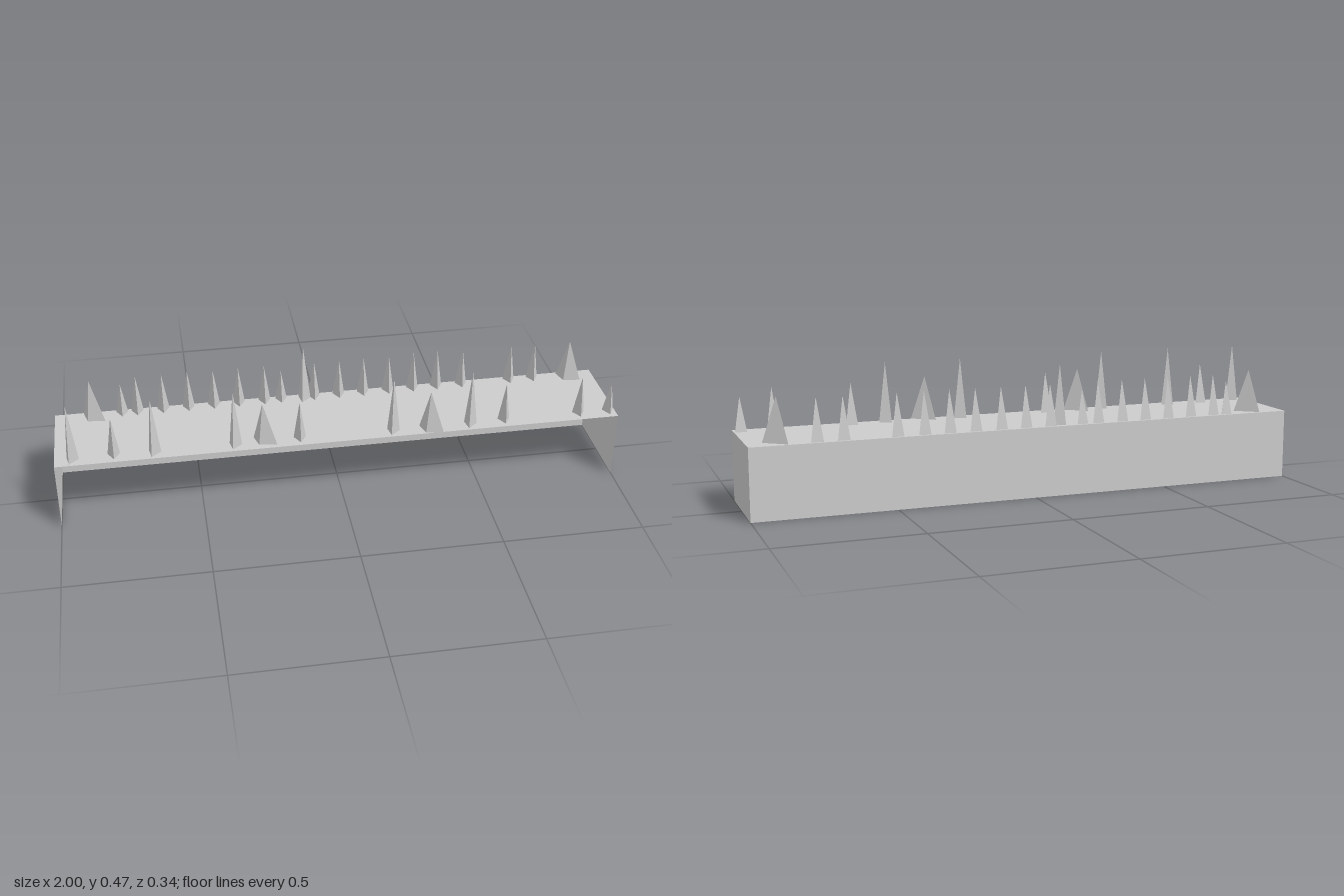
import * as THREE from 'three';

const TOP = 0.25, BACK = -0.168, FRONT = 0.165;

export function createModel() {
  const model = new THREE.Group();
  const material = new THREE.MeshStandardMaterial({
    color: 0xcccccc, flatShading: true, side: THREE.DoubleSide,
  });

  const add = (name, geometry, x, y, z, parent = model) => {
    const mesh = new THREE.Mesh(geometry, material);
    mesh.name = name;
    mesh.position.set(x, y, z);
    parent.add(mesh);
    return mesh;
  };

  // Ledge: thin shell, open at the front and underneath
  const depth = FRONT - BACK, midZ = (FRONT + BACK) / 2;
  add('ledgeTop', new THREE.PlaneGeometry(2, depth).rotateX(-Math.PI / 2), 0, TOP, midZ);
  add('backWall', new THREE.PlaneGeometry(2, TOP).rotateY(Math.PI), 0, TOP / 2, BACK);
  add('leftEnd', new THREE.PlaneGeometry(depth, TOP).rotateY(Math.PI / 2), 1, TOP / 2, midZ);
  add('rightEnd', new THREE.PlaneGeometry(depth, TOP).rotateY(-Math.PI / 2), -1, TOP / 2, midZ);

  // Three-sided spikes standing on the origin
  const spike = (radius, height, turn = 0) =>
    new THREE.ConeGeometry(radius, height, 3).translate(0, height / 2, 0).rotateY(turn);
  const small = spike(0.025, 0.15);
  const short = spike(0.024, 0.122);
  const tall = spike(0.026, 0.217, 1.75);

  // Broad spike: the base triangle is sheared into a long skewed one
  const broad = spike(1, 0.156).applyMatrix4(new THREE.Matrix4().makeBasis(
    new THREE.Vector3(-0.0081, 0, -0.0289),
    new THREE.Vector3(0, 1, 0),
    new THREE.Vector3(0.046, 0, 0.022),
  ));

  const row = (rowName, name, geometry, z, xs) => {
    const group = new THREE.Group();
    group.name = rowName;
    for (const x of xs) add(name, geometry, x, TOP, z, group);
    model.add(group);
  };

  // Front row
  row('frontSmallSpikes', 'smallSpike', small, 0.124, [-0.797, -0.15, 0.588, 0.866]);
  row('frontShortSpikes', 'shortSpike', short, 0.126, [0.976]);
  row('frontTallSpikes', 'tallSpike', tall, 0.131, [-0.941, -0.66, -0.38, 0.18, 0.46]);
  row('frontBroadSpikeRight', 'broadSpike', broad, 0.126, [-0.28]);
  row('frontBroadSpikeLeft', 'broadSpike', broad, 0.146, [0.31]);

  // Back row
  row('backSmallSpikes', 'smallSpike', small, -0.145,
    [-0.705, -0.612, -0.52, -0.428, -0.337, -0.243, -0.06, 0.032,
      0.123, 0.217, 0.31, 0.40, 0.495, 0.68, 0.77]);
  row('backShortSpikes', 'shortSpike', short, -0.145, [-0.76, -0.182]);
  row('backTallSpikes', 'tallSpike', tall, -0.138, [-0.10]);
  row('backBroadSpikes', 'broadSpike', broad, -0.124, [-0.867, 0.897]);

  return model;
}
